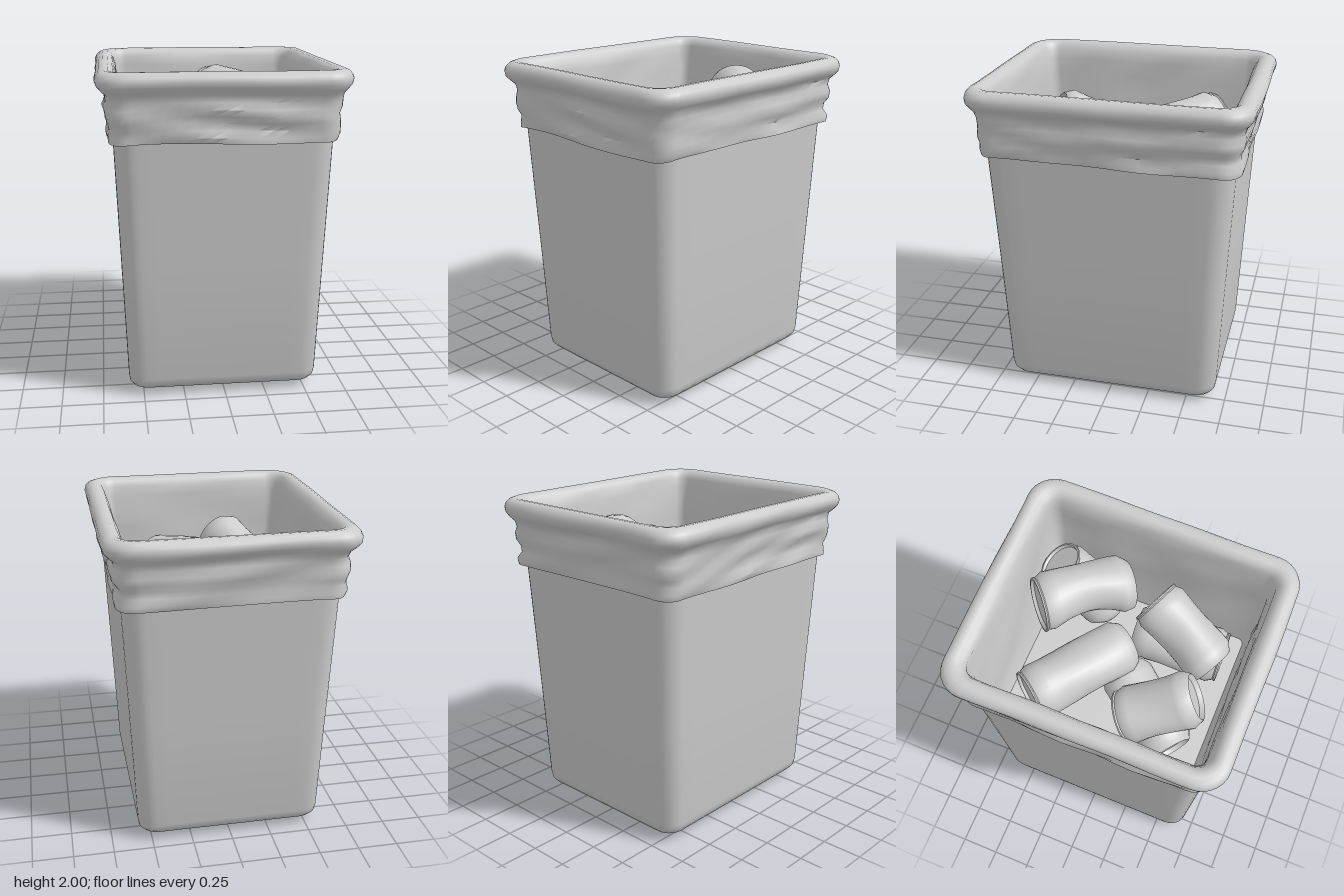
import * as THREE from 'three';
import { toCreasedNormals } from 'three/addons/utils/BufferGeometryUtils.js';

const grey = () => new THREE.MeshStandardMaterial({ color: 0xcccccc, side: THREE.DoubleSide });

// Rounded-rectangle ring: points with position and outward direction
function ring(hx, hz, r, arc = 7, side = 12) {
  const pts = [];
  const corner = (k, a) => {
    const sx = k === 0 || k === 3 ? 1 : -1, sz = k < 2 ? 1 : -1;
    const nx = Math.cos(a), nz = Math.sin(a);
    return { x: sx * (hx - r) + r * nx, z: sz * (hz - r) + r * nz, nx, nz };
  };
  for (let k = 0; k < 4; k++) {
    for (let j = 0; j <= arc; j++) pts.push(corner(k, (k + j / arc) * Math.PI / 2));
    const a = (k + 1) * Math.PI / 2;
    const p = corner(k, a), q = corner((k + 1) % 4, a);
    for (let j = 1; j < side; j++) {
      const t = j / side;
      pts.push({ x: p.x + (q.x - p.x) * t, z: p.z + (q.z - p.z) * t, nx: p.nx, nz: p.nz });
    }
  }
  return pts;
}

// Skin over rows of [y, halfX, halfZ, cornerRadius, foldAmount]
function loft(rows, fold, crease) {
  const pos = [], index = [];
  let n = 0;
  rows.forEach(([y, hx, hz, r, amount = 0], i) => {
    const pts = ring(hx, hz, r);
    n = pts.length;
    for (const p of pts) {
      const [out, up] = amount ? fold(p, y, i) : [0, 0];
      pos.push(p.x + p.nx * out * amount - 0.005, y + up * amount, p.z + p.nz * out * amount);
    }
    if (i === 0) return;
    for (let j = 0; j < n; j++) {
      const a = (i - 1) * n + j, b = (i - 1) * n + (j + 1) % n;
      index.push(a, a + n, b, b, a + n, b + n);
    }
  });
  const g = new THREE.BufferGeometry();
  g.setAttribute('position', new THREE.Float32BufferAttribute(pos, 3));
  g.setIndex(index);
  return toCreasedNormals(g, crease);
}

function part(name, geometry) {
  const m = new THREE.Mesh(geometry, grey());
  m.name = name;
  return m;
}

// Tapered bin with a recessed foot
function makeBin() {
  return part('bin', loft([
    [0, 0, 0, 0], [0, 0.475, 0.56, 0.06], [0.008, 0.485, 0.57, 0.07], [0.03, 0.485, 0.57, 0.07],
    [0.035, 0.53, 0.62, 0.09], [0.045, 0.56, 0.655, 0.1], [0.07, 0.579, 0.677, 0.11],
    [0.11, 0.585, 0.685, 0.11], [0.8, 0.613, 0.717, 0.12], [1.58, 0.645, 0.755, 0.13],
    [1.9, 0.655, 0.768, 0.13],
  ], null, 0.6));
}

// Bag: loose hem outside, rolled over the rim, then down to its floor
function makeBag() {
  const fold = (p, y) => [
    Math.sin(p.x * 7 + y * 31 + p.z * 3) * 0.6 + Math.sin(p.z * 11 - y * 43 - p.x * 5) * 0.5,
    Math.sin(p.x * 5 - p.z * 4) * 0.5 - Math.abs(p.nx * p.nz),
  ];
  const row = (y, hx, r, f) => [y, hx, hx + 0.115, r, f];
  return part('bagLiner', loft([
    row(1.585, 0.672, 0.13, 0.012), row(1.62, 0.678, 0.13, 0.012), row(1.66, 0.668, 0.13, 0.012),
    row(1.7, 0.674, 0.13, 0.014), row(1.74, 0.686, 0.14, 0.014), row(1.78, 0.69, 0.14, 0.012),
    row(1.82, 0.682, 0.14, 0.01), row(1.86, 0.69, 0.14, 0.008), row(1.885, 0.715, 0.15, 0.005),
    row(1.91, 0.735, 0.16, 0.005), row(1.94, 0.742, 0.17, 0.004), row(1.965, 0.734, 0.17, 0.003),
    row(1.985, 0.716, 0.16, 0.003), row(1.996, 0.69, 0.15, 0.002), row(1.993, 0.66, 0.13, 0.003),
    row(1.975, 0.63, 0.1, 0.004), row(1.94, 0.612, 0.08, 0.006), row(1.88, 0.603, 0.07, 0.01),
    row(1.78, 0.593, 0.06, 0.014), row(1.65, 0.585, 0.06, 0.015), row(1.5, 0.575, 0.05, 0.015),
    row(1.35, 0.565, 0.05, 0.012), row(1.2, 0.555, 0.04, 0.008), [1.1, 0.545, 0.64, 0.04],
    [1.1, 0, 0, 0],
  ], fold, 0.9));
}

// Drinks can: rimmed ends, with a pinch, bend and shallow dents
function makeCan({ at, dir, r, len, pinch = 0, bend = 0, seed = 0, roll = 0 }) {
  const h = len / 2;
  const profile = [[0, -h + 0.03], [0.7 * r, -h + 0.03], [0.76 * r, -h], [0.8 * r, -h + 0.005], [r, -h + 0.06]];
  for (let i = 1; i < 10; i++) profile.push([r, -h + 0.06 + (len - 0.12) * i / 10]);
  profile.push([r, h - 0.06], [0.87 * r, h - 0.018], [0.9 * r, h - 0.01], [0.88 * r, h],
    [0.82 * r, h], [0.79 * r, h - 0.02], [0, h - 0.02]);
  const g = new THREE.LatheGeometry(profile.map(p => new THREE.Vector2(...p)), 28);
  const p = g.attributes.position;
  for (let i = 0; i < p.count; i++) {
    const x = p.getX(i), y = p.getY(i), z = p.getZ(i);
    const mid = Math.max(0, Math.cos(Math.PI * y / len));
    const a = Math.atan2(z, x);
    const dent = 1 - 0.07 * mid * (1 + Math.sin(a * 3 + y * 9 + seed)) / 2;
    p.setXYZ(i, x * dent * (1 - pinch * mid) + bend * mid, y + x * bend * 0.8 * (y / h), z * dent * (1 - pinch * 0.5 * mid));
  }
  g.deleteAttribute('normal');
  g.deleteAttribute('uv');
  const can = part('can', toCreasedNormals(g, 0.8));
  can.position.set(...at);
  can.quaternion.setFromUnitVectors(new THREE.Vector3(0, 1, 0), new THREE.Vector3(...dir).normalize());
  can.rotateY(roll);
  return can;
}

export function createModel() {
  const model = new THREE.Group();
  model.name = 'wasteBin';
  model.add(makeBin(), makeBag());

  const cans = new THREE.Group();
  cans.name = 'cans';
  [
    // upper layer
    { at: [-0.19, 1.48, -0.22], dir: [-0.57, 0.05, -0.42], r: 0.175, len: 0.7, seed: 1 },
    { at: [0.2, 1.68, -0.34], dir: [-0.36, 0.08, -0.42], r: 0.19, len: 0.58, pinch: 0.2, bend: 0.05, seed: 2 },
    { at: [0.37, 1.43, -0.42], dir: [-0.05, 0.6, -0.45], r: 0.17, len: 0.52, seed: 3 },
    { at: [-0.25, 1.54, 0.33], dir: [-0.22, -0.18, -0.37], r: 0.185, len: 0.48, pinch: 0.08, seed: 4 },
    { at: [0.27, 1.49, 0.29], dir: [0.2, 0.16, -0.46], r: 0.18, len: 0.54, pinch: 0.08, bend: 0.02, seed: 5 },
    // lower layer
    { at: [-0.21, 1.28, 0.24], dir: [0.35, 0.04, -0.45], r: 0.17, len: 0.6, seed: 6 },
    { at: [0.29, 1.28, 0.27], dir: [0.03, 0, 1], r: 0.18, len: 0.58, seed: 7 },
  ].forEach(c => cans.add(makeCan(c)));
  model.add(cans);
  return model;
}
